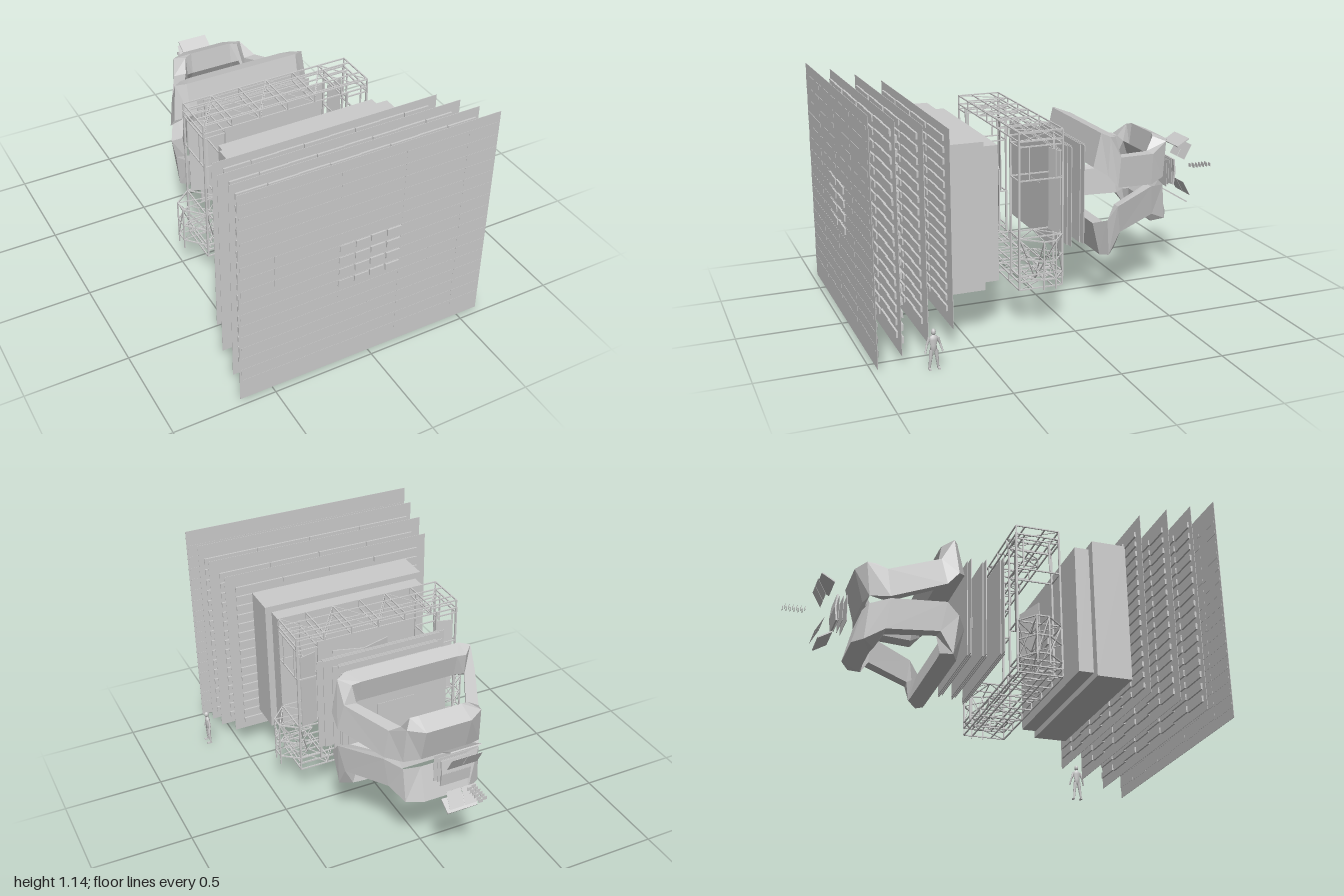
import * as THREE from 'three';
import { mergeGeometries } from 'three/addons/utils/BufferGeometryUtils.js';

const grey = new THREE.MeshStandardMaterial({ color: 0xcccccc, flatShading: true, side: THREE.DoubleSide });
const smooth = new THREE.MeshStandardMaterial({ color: 0xcccccc });

function box(w, h, d, x, y, z, rx = 0, ry = 0) {
  return new THREE.BoxGeometry(w, h, d).rotateX(rx).rotateY(ry).translate(x, y, z);
}

function addPart(parent, name, geos, material = grey) {
  const mesh = new THREE.Mesh(mergeGeometries(geos), material);
  mesh.name = name;
  parent.add(mesh);
  return mesh;
}

// Square bar between two points
function bar(a, b, t = 0.006) {
  const p = new THREE.Vector3(...a), q = new THREE.Vector3(...b);
  const m = new THREE.Matrix4().lookAt(p, q, Math.abs(q.y - p.y) > 0.9 * p.distanceTo(q)
    ? new THREE.Vector3(1, 0, 0) : new THREE.Vector3(0, 1, 0));
  m.setPosition(p.clone().add(q).multiplyScalar(0.5));
  return new THREE.BoxGeometry(t, t, p.distanceTo(q)).applyMatrix4(m);
}

// Thin wall with rows of chambers alternating between its two faces
function muonStation(parent, name, z, wallW, wallH, rowsW, rowsH, flat) {
  const station = new THREE.Group();
  station.name = name;
  addPart(station, 'wall', [box(wallW, wallH, 0.002, 0, 0, z)]);
  const w = rowsW / 8, pitch = rowsH / 32, chambers = [];
  for (let row = 0; row < 32; row++) {
    for (let col = 0; col < 8; col++) {
      const side = row % 2 ? 1 : -1, far = col % 2;
      const offset = flat ? 0.003 + 0.004 * far : 0.007 + 0.006 * far;
      chambers.push(box(w - 0.001, pitch, flat ? 0.001 : 0.009,
        (col - 3.5) * w, (row - 15.5) * pitch + 0.003 * far, z + side * offset));
    }
  }
  addPart(station, 'chambers', chambers);
  parent.add(station);
}

// Saddle coil: four-cornered sections joined into a closed ring
function saddleCoil(sign) {
  // corners: outer bottom, outer top, inner top, inner bottom
  const half = [
    [[0.3, 0.14, -0.19], [0.3, 0.305, -0.228], [0.25, 0.283, -0.305], [0.25, 0.165, -0.28]],
    [[0.372, 0.11, -0.235], [0.35, 0.295, -0.255], [0.3, 0.278, -0.305], [0.3, 0.165, -0.29]],
    [[0.37, 0.047, -0.29], [0.345, 0.187, -0.315], [0.285, 0.185, -0.32], [0.305, 0.055, -0.3]],
    [[0.25, 0.005, -0.53], [0.232, 0.155, -0.545], [0.168, 0.155, -0.54], [0.183, 0.01, -0.53]],
    [[0.197, 0.02, -0.62], [0.19, 0.2, -0.637], [0.147, 0.222, -0.582], [0.147, 0.13, -0.565]],
    [[0.115, 0.02, -0.637], [0.115, 0.192, -0.682], [0.11, 0.23, -0.594], [0.11, 0.12, -0.582]],
  ];
  const mirrored = half.map(s => s.map(([x, y, z]) => [-x, y, z])).reverse();
  const ring = [...half, ...mirrored];
  const positions = [], index = [];
  ring.forEach((section, i) => {
    const next = (i + 1) % ring.length;
    section.forEach(([x, y, z], k) => {
      positions.push(x, sign * y, z);
      const k2 = (k + 1) % 4;
      const a = i * 4 + k, b = next * 4 + k, c = next * 4 + k2, d = i * 4 + k2;
      if (sign > 0) index.push(a, d, b, b, d, c);
      else index.push(a, b, d, b, c, d);
    });
  });
  const geo = new THREE.BufferGeometry();
  geo.setAttribute('position', new THREE.Float32BufferAttribute(positions, 3));
  geo.setIndex(index);
  geo.computeVertexNormals();
  return geo;
}

// Open lattice frame with hexagonal lower ends
function latticeFrame(parent) {
  const bars = [], zF = 0.24, zB = 0.025;
  for (const [low, high] of [[-0.378, -0.34], [0.335, 0.378]]) {
    for (const y of [low, high]) {
      for (const z of [zB, 0.07, 0.17, zF]) bars.push(bar([-0.43, y, z], [0.43, y, z]));
      for (let i = 0; i <= 6; i++) {
        const x = -0.43 + i * 0.86 / 6;
        bars.push(bar([x, y, zB], [x, y, zF]));
        if (i < 6) {
          const zs = i % 2 ? [zB, zF] : [zF, zB];
          bars.push(bar([x, y, zs[0]], [x + 0.86 / 6, y, zs[1]], 0.004));
        }
      }
    }
    for (let i = 0; i <= 6; i++) {
      for (const z of [zB, zF]) bars.push(bar([-0.43 + i * 0.86 / 6, low, z], [-0.43 + i * 0.86 / 6, high, z]));
    }
  }
  for (const s of [-1, 1]) {
    // side posts and cross ties
    for (const x of [0.32, 0.43]) {
      for (const z of [zB, zF]) bars.push(bar([s * x, -0.34, z], [s * x, 0.34, z], 0.009));
      for (const y of [-0.31, -0.125, 0.15, 0.31]) bars.push(bar([s * x, y, zB], [s * x, y, zF]));
    }
    for (const y of [-0.31, -0.125, 0.15, 0.31]) {
      for (const z of [zB, zF]) bars.push(bar([s * 0.32, y, z], [s * 0.43, y, z]));
    }
    for (const z of [0.06, 0.19]) bars.push(bar([s * 0.43, 0.15, z], [s * 0.43, 0.31, z]));
    // projecting hexagonal bay with fanned braces
    const bay = [[0.43, zB], [0.512, 0.09], [0.512, 0.15], [0.43, zF]];
    for (const y of [-0.31, -0.22, -0.125]) {
      for (let i = 0; i < 3; i++) {
        bars.push(bar([s * bay[i][0], y, bay[i][1]], [s * bay[i + 1][0], y, bay[i + 1][1]]));
      }
      for (const [x, z] of bay) bars.push(bar([s * 0.32, y, 0.13], [s * x, y, z], 0.004));
    }
    bay.forEach(([x, z], i) => {
      bars.push(bar([s * x, -0.36, z], [s * x, -0.125, z]));
      if (i < 3) bars.push(bar([s * x, -0.31, z], [s * bay[i + 1][0], -0.125, bay[i + 1][1]], 0.004));
      bars.push(bar([s * 0.35, -0.36, 0.13], [s * x, -0.125, z], 0.004));
    });
  }
  addPart(parent, 'latticeFrame', bars);
  // Angled mirror walls inside the frame
  const mirrors = [];
  for (const s of [-1, 1]) {
    mirrors.push(box(0.16, 0.26, 0.006, s * 0.077, 0, 0.212, 0, -s * 0.29));
    mirrors.push(box(0.09, 0.4, 0.005, s * 0.37, 0.07, 0.04, 0, s * 0.25));
  }
  addPart(parent, 'mirrorWalls', mirrors);
}

function person() {
  const g = new THREE.Group();
  g.name = 'person';
  const limb = (name, a, b, r0, r1) => {
    const p = new THREE.Vector3(...a), q = new THREE.Vector3(...b), d = q.clone().sub(p);
    const m = new THREE.Mesh(new THREE.CylinderGeometry(r1, r0, d.length(), 10), smooth);
    m.quaternion.setFromUnitVectors(new THREE.Vector3(0, 1, 0), d.normalize());
    m.position.copy(p.add(q).multiplyScalar(0.5));
    m.name = name;
    g.add(m);
  };
  const torso = new THREE.Mesh(new THREE.LatheGeometry([[0, 0.084], [0.017, 0.088], [0.014, 0.112], [0.021, 0.14],
    [0.017, 0.154], [0.007, 0.16], [0.006, 0.168]].map(p => new THREE.Vector2(...p)), 14), smooth);
  torso.scale.x = 0.62;
  torso.name = 'torso';
  const head = new THREE.Mesh(new THREE.SphereGeometry(0.0125, 14, 10), smooth);
  head.scale.set(1, 1.2, 0.85);
  head.position.set(0.002, 0.176, 0);
  head.name = 'head';
  g.add(torso, head);
  for (const s of [-1, 1]) {
    limb('thigh', [0, 0.092, s * 0.01], [0, 0.05, s * 0.015], 0.0105, 0.0075);
    limb('shin', [0, 0.05, s * 0.015], [-0.003, 0.004, s * 0.02], 0.0075, 0.0045);
    limb('upperArm', [0, 0.147, s * 0.019], [-0.002, 0.117, s * 0.03], 0.0068, 0.005);
    limb('forearm', [-0.002, 0.117, s * 0.03], [0.006, 0.08, s * 0.04], 0.005, 0.004);
    const foot = new THREE.Mesh(new THREE.BoxGeometry(0.026, 0.007, 0.009), smooth);
    foot.position.set(0.005, 0.0035, s * 0.021);
    foot.name = 'foot';
    g.add(foot);
  }
  g.position.set(0.647, 0, 0.738);
  return g;
}

export function createModel() {
  const model = new THREE.Group();
  model.name = 'particleDetector';
  const d = new THREE.Group();
  d.name = 'detector';
  d.position.set(-0.033, 0.58, 0);
  model.add(d, person());

  // Muon walls, front to back
  muonStation(d, 'muonWall1', 0.977, 1.266, 1.13, 1.25, 1.03, true);
  muonStation(d, 'muonWall2', 0.861, 1.22, 1.06, 1.17, 0.97, false);
  muonStation(d, 'muonWall3', 0.737, 1.2, 0.99, 1.1, 0.9, false);
  muonStation(d, 'muonWall4', 0.609, 1.13, 0.92, 1.03, 0.84, false);
  const inner = [];
  for (let r = 0; r < 4; r++) {
    for (let c = 0; c < 4; c++) {
      for (const s of [-1, 1]) {
        inner.push(box(0.07, 0.032, 0.008, (c - 1.5) * 0.079,
          (r - 1.5) * 0.065 + s * 0.016, 0.977 + s * (0.007 + 0.003 * (c % 2))));
      }
    }
  }
  addPart(d, 'innerChambers', inner);

  // Calorimeters
  addPart(d, 'largeCalorimeter', [box(0.866, 0.705, 0.172, 0, 0.002, 0.496)]);
  addPart(d, 'smallCalorimeter', [box(0.803, 0.65, 0.073, 0, 0, 0.368)]);
  addPart(d, 'beamCollar', [box(0.045, 0.045, 0.09, 0, 0, 0.368)]);

  latticeFrame(d);

  // Tracking planes
  [[-0.008, 0.345], [-0.08, 0.295], [-0.152, 0.283]].forEach(([z, hw], i) => {
    const planes = [];
    for (const k of [-1, 0, 1]) planes.push(box(2 * hw - (k ? 0.06 : 0), 0.495, 0.004, 0, 0, z + k * 0.009));
    planes.push(box(0.2, 0.06, 0.026, 0, 0, z));
    addPart(d, 'trackingStation' + (i + 1), planes);
  });

  // Magnet
  addPart(d, 'upperCoil', [saddleCoil(1)]);
  addPart(d, 'lowerCoil', [saddleCoil(-1)]);

  // Small planes and mirrors behind the magnet
  addPart(d, 'rearPlanes', [box(0.17, 0.14, 0.002, 0, 0, -0.702), box(0.15, 0.13, 0.002, 0, 0, -0.72),
    box(0.14, 0.13, 0.002, 0, 0, -0.738)]);
  const mirrors = [];
  for (const s of [-1, 1]) {
    mirrors.push(box(0.15, 0.07, 0.008, 0, s * 0.033, -0.752, s * 0.12));
    mirrors.push(box(0.155, 0.006, 0.075, 0, s * 0.15, -0.798, s * 0.54));
    for (const x of [-0.039, 0.039]) mirrors.push(box(0.075, 0.085, 0.001, x, s * 0.098, -0.826, -s * 0.5));
  }
  addPart(d, 'rearMirrors', mirrors);

  // Row of tiny sensor plates at the beam entrance
  const sensors = [];
  for (let i = 0; i < 12; i++) {
    const s = i % 2 ? 1 : -1;
    sensors.push(box(0.022, 0.018, 0.002, s * 0.012, 0, -0.89 - i * 0.0094));
  }
  addPart(d, 'vertexSensors', sensors);
  return model;
}
